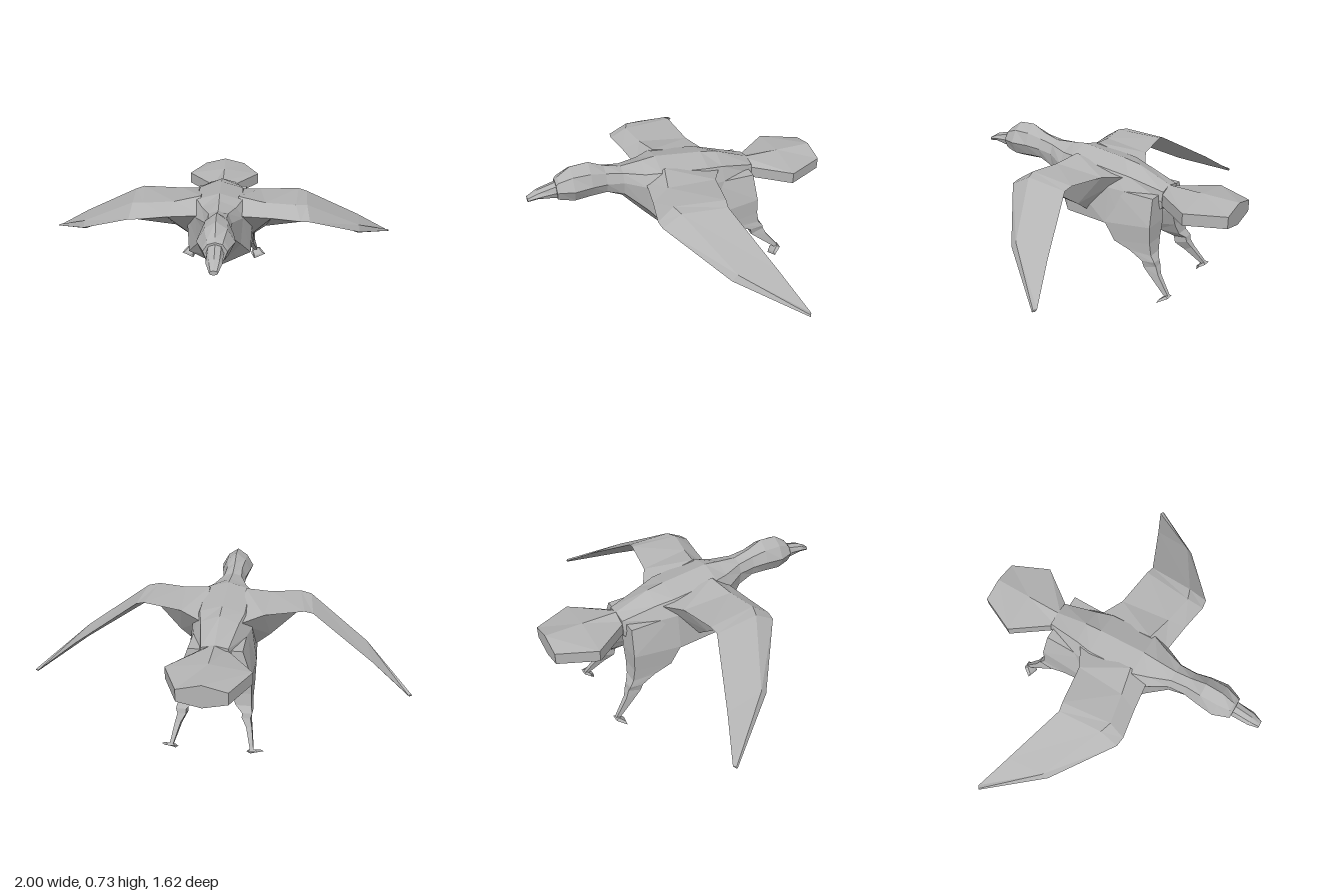
import * as THREE from 'three';

const grey = new THREE.MeshStandardMaterial({ color: 0xb4b4b4, flatShading: true });
grey.name = 'plain grey';

// Skins a row of closed cross-sections and caps both ends, facing outwards.
function loft(name, rings) {
  const n = rings[0].length;
  const tris = [];
  for (let i = 0; i < rings.length - 1; i++) {
    for (let j = 0; j < n; j++) {
      const k = (j + 1) % n;
      const a = rings[i][j], b = rings[i][k], c = rings[i + 1][k], d = rings[i + 1][j];
      tris.push([a, b, c], [a, c, d]);
    }
  }
  const first = rings[0], last = rings[rings.length - 1];
  for (let j = 1; j < n - 1; j++) {
    tris.push([first[0], first[j + 1], first[j]], [last[0], last[j], last[j + 1]]);
  }
  // Signed volume tells whether the corners must be reversed
  let volume = 0;
  for (const t of tris) {
    const [a, b, c] = t.map((p) => new THREE.Vector3(...p));
    volume += a.dot(b.cross(c));
  }
  if (volume < 0) tris.forEach((t) => t.reverse());
  const geometry = new THREE.BufferGeometry();
  geometry.setAttribute('position', new THREE.Float32BufferAttribute(tris.flat(2), 3));
  geometry.computeVertexNormals();
  const mesh = new THREE.Mesh(geometry, grey);
  mesh.name = name;
  return mesh;
}

// Symmetric section across z: top y, three side points [x, y], bottom y
function section(z, top, sides, bottom) {
  const right = sides.map(([x, y]) => [x, y, z]);
  const left = sides.map(([x, y]) => [-x, y, z]).reverse();
  return [[0, top, z], ...right, [0, bottom, z], ...left];
}

const mirrorRings = (rings, s) => rings.map((r) => r.map(([x, y, z]) => [s * x, y, z]));

// Horizontal four-cornered section of a leg; front edge may sit lower than the back
const legRing = (x0, x1, zFront, yFront, zBack, yBack) => [
  [x0, yFront, zFront], [x1, yFront, zFront], [x1, yBack, zBack], [x0, yBack, zBack],
];

export function createModel() {
  const bird = new THREE.Group();
  bird.name = 'bird';

  bird.add(loft('beak', [
    section(0.81, 0.597, [[0.015, 0.595], [0.02, 0.585], [0.015, 0.578]], 0.575),
    section(0.755, 0.63, [[0.025, 0.622], [0.038, 0.605], [0.025, 0.59]], 0.588),
    section(0.64, 0.66, [[0.03, 0.65], [0.042, 0.615], [0.03, 0.575]], 0.57),
  ]));

  bird.add(loft('headAndNeck', [
    section(0.66, 0.665, [[0.035, 0.655], [0.058, 0.62], [0.04, 0.575]], 0.57),
    section(0.645, 0.685, [[0.04, 0.67], [0.065, 0.625], [0.045, 0.57]], 0.56),
    section(0.575, 0.732, [[0.055, 0.695], [0.093, 0.63], [0.06, 0.56]], 0.53),
    section(0.48, 0.738, [[0.055, 0.695], [0.082, 0.63], [0.055, 0.565]], 0.535),
    section(0.4, 0.7, [[0.045, 0.675], [0.067, 0.62], [0.05, 0.565]], 0.542),
    section(0.31, 0.675, [[0.05, 0.66], [0.07, 0.61], [0.06, 0.535]], 0.49),
    section(0.2, 0.685, [[0.09, 0.65], [0.125, 0.59], [0.115, 0.44]], 0.36),
  ]));

  bird.add(loft('body', [
    section(0.2, 0.685, [[0.09, 0.65], [0.125, 0.59], [0.115, 0.44]], 0.36),
    section(0.12, 0.695, [[0.12, 0.66], [0.175, 0.57], [0.168, 0.355]], 0.27),
    section(-0.14, 0.665, [[0.12, 0.63], [0.16, 0.55], [0.188, 0.355]], 0.27),
    section(-0.23, 0.65, [[0.1, 0.61], [0.14, 0.54], [0.17, 0.37]], 0.31),
    section(-0.42, 0.575, [[0.07, 0.56], [0.08, 0.51], [0.075, 0.47]], 0.455),
  ]));

  // Broad six-sided tail with a shallow ridge above and below
  const tailRing = (z, w) => [
    [0, 0.575, z], [w, 0.545, z], [w, 0.482, z], [0, 0.455, z], [-w, 0.482, z], [-w, 0.545, z],
  ];
  bird.add(loft('tail', [tailRing(-0.4, 0.06), tailRing(-0.61, 0.212), tailRing(-0.81, 0.122)]));

  // Wing sections: leading edge, top, trailing edge, underside
  const wing = [
    [[0.09, 0.6, 0.2], [0.1, 0.672, 0.1], [0.1, 0.6, -0.21], [0.14, 0.37, -0.02]],
    [[0.27, 0.6, 0.222], [0.24, 0.65, 0.13], [0.22, 0.625, -0.14], [0.25, 0.455, -0.01]],
    [[0.42, 0.595, 0.247], [0.4, 0.652, 0.16], [0.43, 0.645, -0.108], [0.42, 0.588, 0.08]],
    [[0.47, 0.59, 0.24], [0.46, 0.645, 0.14], [0.475, 0.632, -0.1], [0.46, 0.57, 0.08]],
    [[0.77, 0.43, 0.0], [0.77, 0.46, -0.03], [0.79, 0.44, -0.235], [0.77, 0.4, -0.06]],
    [[1.0, 0.302, -0.31], [0.995, 0.31, -0.312], [0.98, 0.308, -0.322], [0.985, 0.298, -0.315]],
  ];

  const thigh = [
    legRing(0.03, 0.14, -0.16, 0.54, -0.4, 0.54),
    legRing(0.05, 0.188, -0.14, 0.36, -0.415, 0.4),
    legRing(0.08, 0.188, -0.2, 0.268, -0.418, 0.31),
    legRing(0.11, 0.19, -0.3, 0.24, -0.43, 0.245),
    legRing(0.145, 0.198, -0.38, 0.205, -0.455, 0.215),
  ];
  const shin = [
    legRing(0.145, 0.198, -0.38, 0.205, -0.455, 0.215),
    legRing(0.145, 0.19, -0.39, 0.165, -0.462, 0.19),
    legRing(0.17, 0.2, -0.44, 0.125, -0.482, 0.15),
    legRing(0.2, 0.218, -0.54, 0.045, -0.557, 0.055),
  ];
  const foot = [
    [[0.19, 0.055, -0.562], [0.235, 0.055, -0.562], [0.225, 0.06, -0.545], [0.2, 0.06, -0.545]],
    [[0.178, 0.03, -0.525], [0.268, 0.032, -0.515], [0.25, 0.04, -0.515], [0.19, 0.042, -0.525]],
    [[0.198, 0.003, -0.505], [0.21, 0.008, -0.505], [0.208, 0.024, -0.505], [0.2, 0.024, -0.505]],
  ];

  for (const [side, s] of [['left', 1], ['right', -1]]) {
    bird.add(loft(side + 'Wing', mirrorRings(wing, s)));
    const leg = new THREE.Group();
    leg.name = side + 'Leg';
    leg.add(
      loft(side + 'Thigh', mirrorRings(thigh, s)),
      loft(side + 'Shin', mirrorRings(shin, s)),
      loft(side + 'Foot', mirrorRings(foot, s)),
    );
    bird.add(leg);
  }
  return bird;
}
